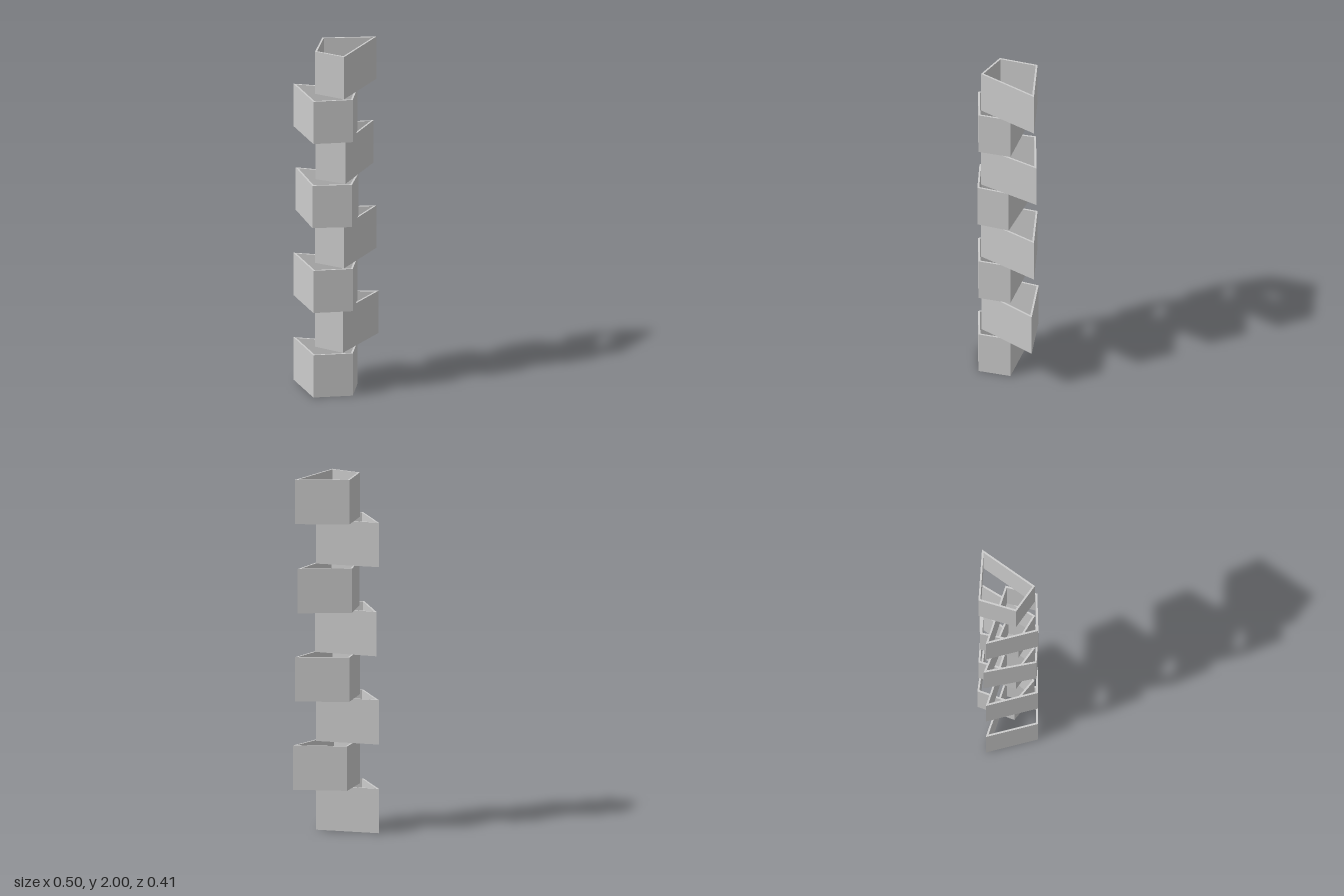
import * as THREE from 'three';

const WALL = 0.0105, HEIGHT = 0.25;

// Outlines as [x, z], clockwise seen from above, each with the pivot it twists around
const tubes = [
  { pivot: [-0.1, 0.08], outline: [[-0.139, -0.202], [0.072, 0.09], [-0.071, 0.204], [-0.249, 0.076]] },
  { pivot: [-0.02, 0.09], outline: [[0.018, -0.136], [0.247, 0.058], [-0.1, 0.165], [-0.158, -0.007]] },
];

// Moves every side of a clockwise outline inward by the wall thickness
function inset(points, t) {
  const n = points.length;
  const inward = points.map((p, i) => {
    const d = points[(i + 1) % n].clone().sub(p).normalize();
    return new THREE.Vector2(d.y, -d.x);
  });
  return points.map((p, i) => {
    const a = inward[(i + n - 1) % n], b = inward[i];
    return p.clone().add(a.clone().add(b).multiplyScalar(t / (1 + a.dot(b))));
  });
}

// Open four-sided tube with thin mitred walls, its pivot at the origin
function tubeGeometry({ pivot, outline }) {
  const outer = outline.map(([x, z]) => new THREE.Vector2(x - pivot[0], pivot[1] - z));
  const shape = new THREE.Shape(outer);
  // The hole runs against the outline so that the inner walls face inward
  shape.holes.push(new THREE.Path(inset(outer, WALL).reverse()));
  const geometry = new THREE.ExtrudeGeometry(shape, { depth: HEIGHT, bevelEnabled: false });
  return geometry.rotateX(-Math.PI / 2);
}

export function createModel() {
  const group = new THREE.Group();
  group.name = 'stackedTubes';
  const material = new THREE.MeshStandardMaterial({
    color: 0xcccccc, flatShading: true, side: THREE.DoubleSide,
  });
  const geometries = tubes.map(tubeGeometry);

  // Small twist of each storey, from the bottom up
  const twists = [0, 0.06, 0, 0, 0.065, -0.075, 0, 0];
  twists.forEach((twist, i) => {
    const [x, z] = tubes[i % 2].pivot;
    const storey = new THREE.Mesh(geometries[i % 2], material);
    storey.name = `storey${i + 1}`;
    storey.position.set(x, i * HEIGHT, z);
    storey.rotation.y = -twist;
    group.add(storey);
  });
  return group;
}
